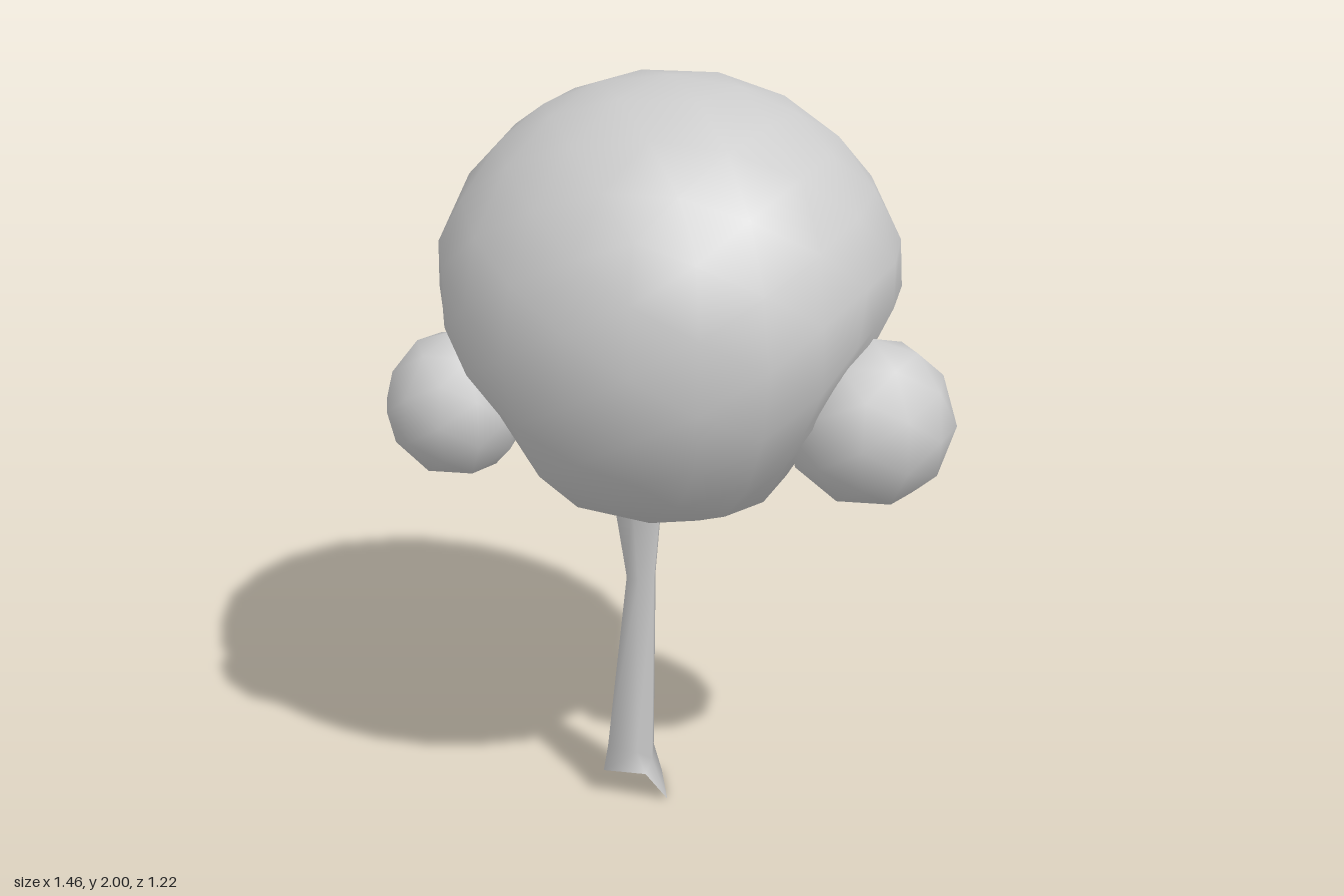
import * as THREE from 'three';
import { mergeVertices } from 'three/addons/utils/BufferGeometryUtils.js';

const material = new THREE.MeshStandardMaterial({ color: 0xcccccc, side: THREE.DoubleSide });

// Side clumps of foliage: centre and radii
const clumps = [
  { name: 'leftFoliageClump', centre: new THREE.Vector3(0.5, 1.16, 0.11), radii: [0.22, 0.22, 0.215] },
  { name: 'rightFoliageClump', centre: new THREE.Vector3(-0.55, 1.17, 0.17), radii: [0.185, 0.192, 0.185] },
];

function addMesh(group, name, geometry) {
  const mesh = new THREE.Mesh(geometry, material);
  mesh.name = name;
  group.add(mesh);
}

// Low-poly ellipsoid with shared vertices, so its shading stays smooth
function blob(centre, radii, detail) {
  const g = new THREE.IcosahedronGeometry(1, detail);
  g.deleteAttribute('normal');
  g.deleteAttribute('uv');
  g.scale(...radii);
  g.translate(centre.x, centre.y, centre.z);
  const merged = mergeVertices(g, 1e-4);
  merged.computeVertexNormals();
  return merged;
}

// Crown, pinched inwards around each clump
function crownGeometry() {
  const centre = new THREE.Vector3(-0.025, 1.425, 0);
  const g = blob(centre, [0.605, 0.575, 0.612], 3);
  const pos = g.attributes.position;
  const v = new THREE.Vector3();
  for (let i = 0; i < pos.count; i++) {
    v.fromBufferAttribute(pos, i);
    for (const c of clumps) {
      const d = v.distanceTo(c.centre) / c.radii[0];
      const pinch = 0.13 * (1 - THREE.MathUtils.smoothstep(d, 0.9, 1.75));
      v.lerp(centre, pinch);
    }
    pos.setXYZ(i, v.x, v.y, v.z);
  }
  g.computeVertexNormals();
  return g;
}

// Trunk lofted through five-cornered rings, with a ragged open foot
function trunkGeometry() {
  const rings = [
    [[-0.195, 0.08, 0.1], [-0.075, 0.09, 0.12], [-0.02, 0, 0.09], [-0.06, 0, -0.06], [-0.16, 0, -0.04]],
    [[-0.185, 0.15, 0.085], [-0.1, 0.15, 0.11], [-0.065, 0.11, 0.07], [-0.075, 0.11, -0.015], [-0.15, 0.12, -0.005]],
    [[-0.135, 0.65, 0.05], [-0.1, 0.65, 0.075], [-0.06, 0.65, 0.06], [-0.065, 0.65, 0], [-0.115, 0.65, -0.005]],
    [[-0.17, 0.92, 0.07], [-0.11, 0.92, 0.1], [-0.035, 0.92, 0.08], [-0.045, 0.92, -0.02], [-0.155, 0.92, -0.02]],
  ];
  const sides = rings[0].length;
  const index = [];
  for (let r = 0; r < rings.length - 1; r++) {
    for (let s = 0; s < sides; s++) {
      const a = r * sides + s;
      const b = r * sides + ((s + 1) % sides);
      index.push(a, b, b + sides, a, b + sides, a + sides);
    }
  }
  const g = new THREE.BufferGeometry();
  g.setAttribute('position', new THREE.Float32BufferAttribute(rings.flat(2), 3));
  g.setIndex(index);
  g.computeVertexNormals();
  return g;
}

export function createModel() {
  const tree = new THREE.Group();
  tree.name = 'tree';
  addMesh(tree, 'crown', crownGeometry());
  for (const c of clumps) addMesh(tree, c.name, blob(c.centre, c.radii, 1));
  addMesh(tree, 'trunk', trunkGeometry());
  return tree;
}
